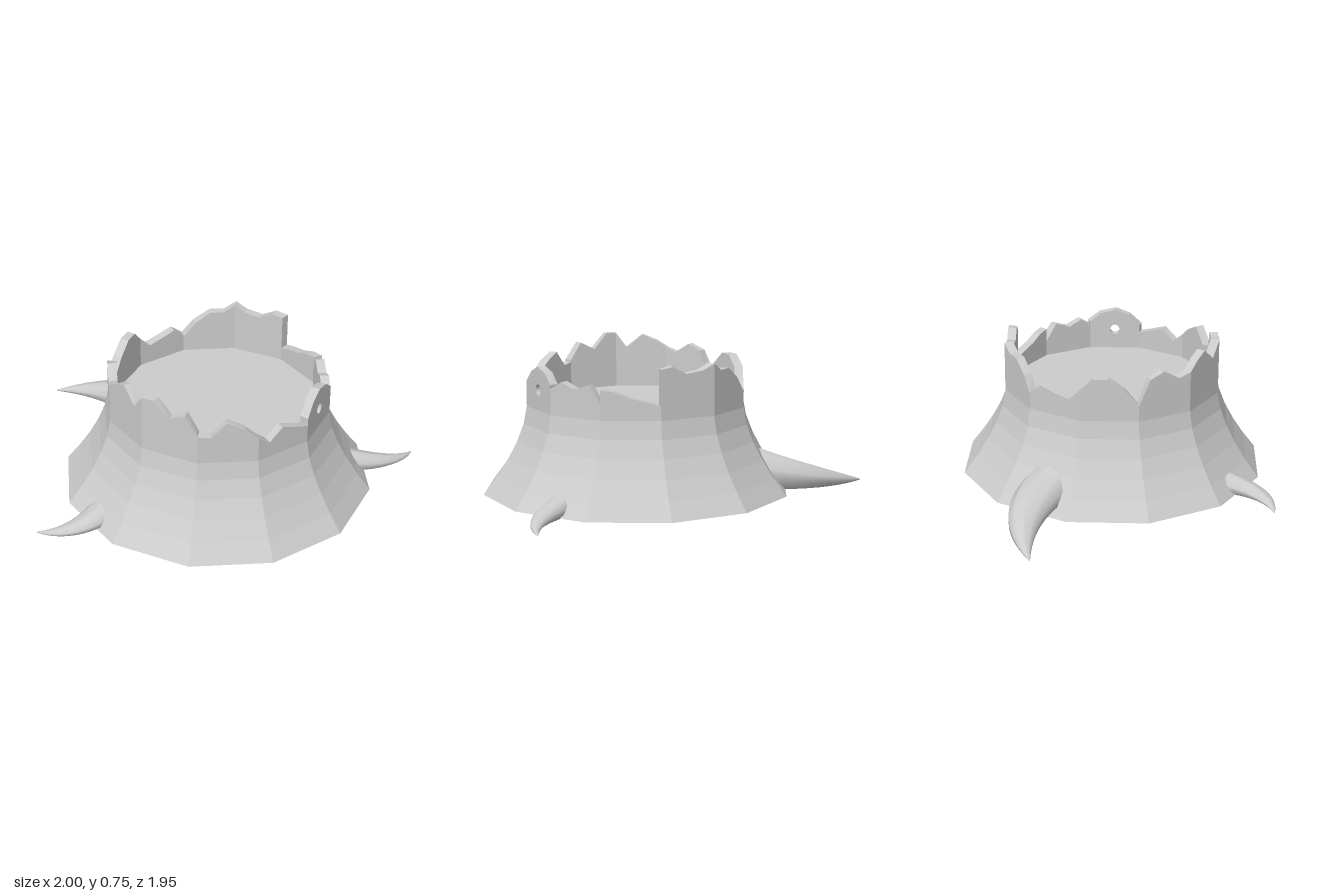
import * as THREE from 'three';

const SIDES = 12;
const STEP = (Math.PI * 2) / SIDES;
const OUTER = 0.55, INNER = 0.505; // distance of the rim faces from the axis
const BASE = 0.02, FLOOR = 0.47; // heights of the underside and the cut top

// Rim heights in hundredths at the same fractions along each side, from the front round
const FRACTIONS = [0, 0.22, 0.48, 0.78, 1];
const RIM = [
  [60, 55, 61, 58, 56], [60, 66, 69, 67, 62], [60, 64, 61, 64, 55], [62, 61, 58, 56, 54],
  [72, 73, 69, 70, 73], [73, 69, 69, 63, 55], [56, 61, 59, 57, 63], [63, 69, 69, 63, 56],
  [55, 68, 71, 66, 68], [68, 72, 75, 68, 76], [76, 76, 68, 72, 63], [62, 61, 69, 65, 60],
];

// One flat side of the splintered rim, mitred to meet its neighbours
function rimSide(heights, withHole) {
  const width = 2 * OUTER * Math.tan(STEP / 2);
  const top = heights.map((h, i) => new THREE.Vector2((FRACTIONS[i] - 0.5) * width, h / 100));
  const shape = new THREE.Shape([
    new THREE.Vector2(-width / 2, FLOOR), new THREE.Vector2(width / 2, FLOOR), ...top.reverse(),
  ]);
  if (withHole) {
    shape.holes.push(new THREE.Path().absarc(0, 0.575, 0.028, 0, Math.PI * 2, true));
  }
  const geo = new THREE.ExtrudeGeometry(shape, { depth: OUTER - INNER, bevelEnabled: false, curveSegments: 10 });
  const pos = geo.attributes.position;
  for (let i = 0; i < pos.count; i++) {
    const z = INNER + pos.getZ(i);
    pos.setXYZ(i, pos.getX(i) * z / OUTER, pos.getY(i), z);
  }
  return geo;
}

// Curved root lying on the ground, tapering from its half width and half height to a tip
function rootGeometry(start, bend, tip, halfWidth, halfHeight) {
  const segments = 12, radial = 10;
  const curve = new THREE.QuadraticBezierCurve3(
    ...[start, bend, tip].map(([x, z]) => new THREE.Vector3(x, 0, z)));
  const geo = new THREE.TubeGeometry(curve, segments, 1, radial);
  const pos = geo.attributes.position;
  for (let i = 0; i < pos.count; i++) {
    const u = Math.floor(i / (radial + 1)) / segments;
    const center = curve.getPointAt(u);
    const w = halfWidth * (1 - u ** 1.6) + 0.003;
    const h = halfHeight * (1 - u) + 0.003;
    pos.setXYZ(i,
      center.x + (pos.getX(i) - center.x) * w,
      0.005 + h + pos.getY(i) * h,
      center.z + (pos.getZ(i) - center.z) * w);
  }
  geo.computeVertexNormals();
  return geo;
}

export function createModel() {
  const model = new THREE.Group();
  model.name = 'treeStump';
  const flat = new THREE.MeshStandardMaterial({ color: 0xcccccc, flatShading: true });
  const smooth = new THREE.MeshStandardMaterial({ color: 0xcccccc, side: THREE.DoubleSide });
  const add = (parent, name, geo, mat) => {
    const mesh = new THREE.Mesh(geo, mat);
    mesh.name = name;
    parent.add(mesh);
    return mesh;
  };

  const stump = new THREE.Group();
  stump.name = 'stump';
  stump.position.set(0.02, 0, 0.2);
  model.add(stump);

  // Flared trunk with flat underside and cut top
  const profile = [new THREE.Vector2(0, BASE)];
  for (let i = 0; i <= 5; i++) {
    const r = OUTER + 0.22 * (1 - i / 5) ** 1.6;
    profile.push(new THREE.Vector2(r / Math.cos(STEP / 2), THREE.MathUtils.lerp(BASE, FLOOR, i / 5)));
  }
  profile.push(new THREE.Vector2(0, FLOOR));
  add(stump, 'trunk', new THREE.LatheGeometry(profile, SIDES, STEP / 2), flat);

  // Splintered rim, with a knot hole in one side
  RIM.forEach((heights, k) => {
    add(stump, 'rimSide' + k, rimSide(heights, k === 1), flat).rotation.y = k * STEP;
  });

  // Roots curling out along the ground
  add(model, 'backRoot', rootGeometry([0, -0.42], [0.025, -0.74], [-0.25, -0.98], 0.125, 0.11), smooth);
  add(model, 'leftRoot', rootGeometry([0.62, 0.53], [0.83, 0.67], [0.995, 0.61], 0.065, 0.055), smooth);
  add(model, 'rightRoot', rootGeometry([-0.67, 0.195], [-0.88, 0.25], [-1, 0.1], 0.075, 0.052), smooth);

  return model;
}
